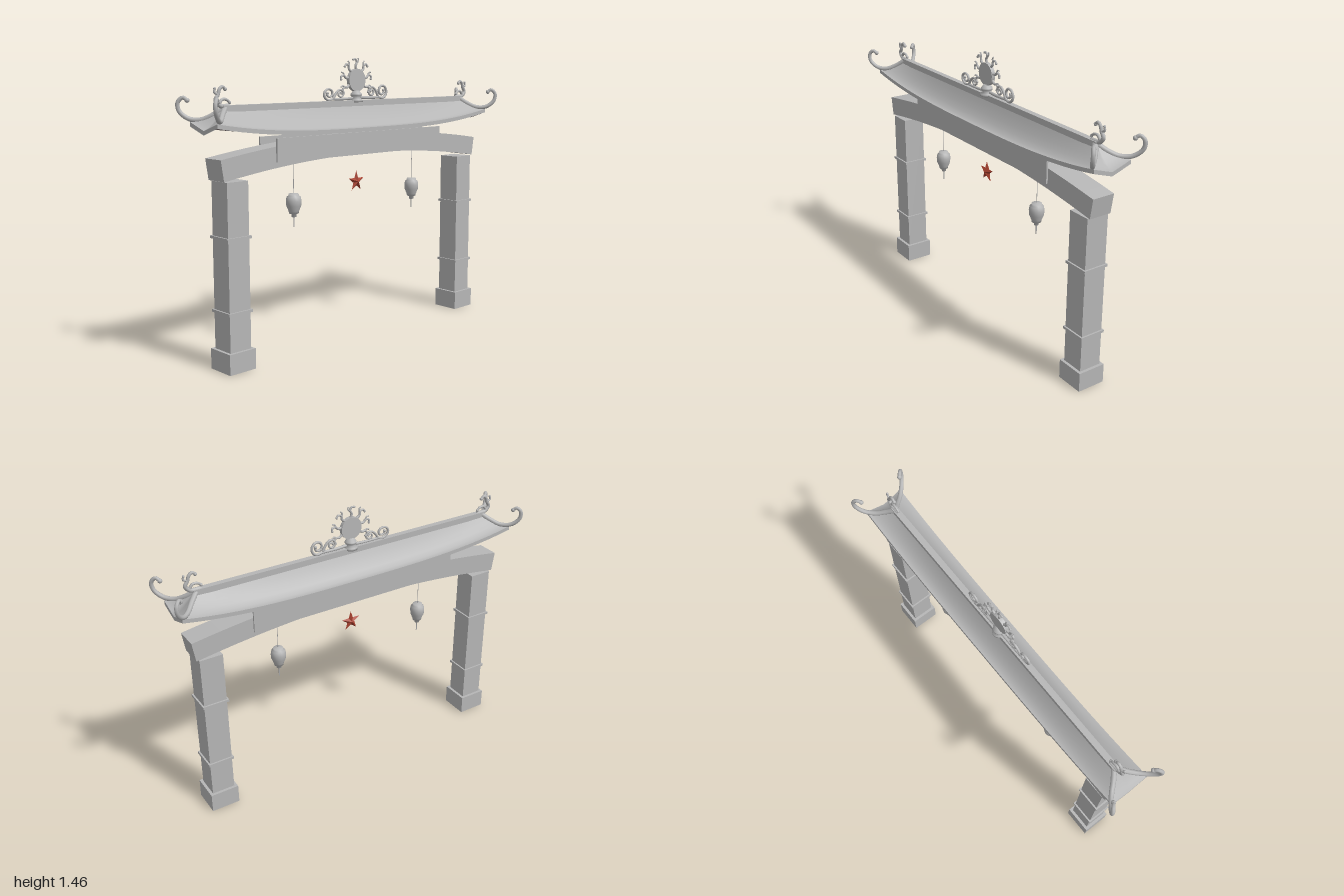
import * as THREE from 'three';
import { ParametricGeometry } from 'three/addons/geometries/ParametricGeometry.js';

const material = (name, color) => {
  const m = new THREE.MeshStandardMaterial({ color });
  m.name = name;
  return m;
};

export function createModel() {
  const root = new THREE.Group();
  root.name = 'gateway';
  const stone = material('stone grey', 0xb6b6b6);
  const soffit = material('soffit grey', 0x8c8080);
  const red = material('star red', 0xa8412f);
  stone.side = soffit.side = THREE.DoubleSide;

  const add = (name, geo, mat = stone, x = 0, y = 0, z = 0, parent = root) => {
    const mesh = new THREE.Mesh(geo, mat);
    mesh.name = name;
    mesh.position.set(x, y, z);
    parent.add(mesh);
    return mesh;
  };
  const box = (name, w, h, d, x, y, z = 0) => add(name, new THREE.BoxGeometry(w, h, d), stone, x, y, z);

  // Tube along a smooth path, its radius changing from r0 to r1, with round ends
  const curl = (name, points, r0, r1, parent = root) => {
    const path = new THREE.CatmullRomCurve3(points.map(p => new THREE.Vector3(p[0], p[1], p[2] || 0)));
    const n = points.length * 4, sides = 8;
    const geo = new THREE.TubeGeometry(path, n, 1, sides);
    const pos = geo.attributes.position, v = new THREE.Vector3();
    for (let i = 0; i <= n; i++) {
      const c = path.getPointAt(i / n), r = r0 + (r1 - r0) * i / n;
      for (let j = 0; j <= sides; j++) {
        const k = i * (sides + 1) + j;
        v.fromBufferAttribute(pos, k).sub(c).multiplyScalar(r).add(c);
        pos.setXYZ(k, v.x, v.y, v.z);
      }
    }
    add(name, geo, stone, 0, 0, 0, parent);
    [[points[0], r0], [points[points.length - 1], r1 * 1.3]].forEach(([p, r]) =>
      add(name + 'End', new THREE.SphereGeometry(r, 10, 6), stone, p[0], p[1], p[2] || 0, parent));
  };

  // Columns with footings and bands
  for (const s of [-1, 1]) {
    const x = s * 0.813;
    box('footing', 0.15, 0.1, 0.15, x, 0.05);
    box('column', 0.12, 0.8, 0.12, x, 0.5);
    for (const y of [0.285, 0.637]) box('columnBand', 0.137, 0.013, 0.137, x, y);
  }

  // Arched beam
  const arch = new THREE.Shape(), N = 24;
  for (let i = 0; i <= N; i++) {
    const u = i / N * 2 - 1;
    arch[i ? 'lineTo' : 'moveTo'](0.888 * u, 0.974 - 0.07 * u * u);
  }
  for (let i = N; i >= 0; i--) {
    const u = i / N * 2 - 1;
    arch.lineTo(0.904 * u, 1.075 - 0.07 * u * u);
  }
  add('archedBeam', new THREE.ExtrudeGeometry(arch, { depth: 0.12, bevelEnabled: false }), stone, 0, 0, -0.06);
  for (const s of [-1, 1]) box('signPanel', 1.17, 0.115, 0.009, 0, 1.0275, s * 0.0645);

  // Roof: t runs from ridge to eave, u along the ridge, w across an end
  const RIDGE = 1.235;
  const drop = t => 1 - Math.pow(1 - t, 1.8);
  const eaveY = u => 1.11 + 0.06 * Math.pow(Math.abs(u), 3);
  const longSlope = (s, off) => (a, t, p) => {
    const u = a * 2 - 1;
    p.set(u * (0.84 + 0.11 * t), RIDGE - drop(t) * (RIDGE - eaveY(u)) - off, s * 0.105 * t);
  };
  const endSlope = (s, off) => (a, t, p) => {
    const w = a * 2 - 1;
    p.set(s * (0.84 + 0.11 * t), RIDGE - drop(t) * (RIDGE - 1.17) - 0.035 * t * (1 - Math.abs(w)) - off, 0.105 * t * w);
  };
  const sheet = (name, fn, nu, nv, mat) => add(name, new ParametricGeometry(fn, nu, nv), mat);
  const edge = (slope, s) => (a, b, p) => slope(s, 0.02 * b)(a, 1, p);
  for (const s of [-1, 1]) {
    sheet('roofSlope', longSlope(s, 0), 28, 5, stone);
    sheet('roofSoffit', longSlope(s, 0.02), 28, 5, soffit);
    sheet('eaveEdge', edge(longSlope, s), 28, 1, stone);
    sheet('roofEnd', endSlope(s, 0), 6, 5, stone);
    sheet('roofEndSoffit', endSlope(s, 0.02), 6, 5, soffit);
    sheet('endEaveEdge', edge(endSlope, s), 6, 1, stone);
  }
  box('ridgeBeam', 1.7, 0.03, 0.03, 0, 1.23);

  // Upturned hips and ridge finials
  for (const s of [-1, 1]) {
    for (const f of [-1, 1]) {
      const hip = [[0.83, 1.235, 0], [0.87, 1.203, 0.033], [0.91, 1.18, 0.075], [0.95, 1.185, 0.115],
        [0.982, 1.22, 0.143], [0.986, 1.26, 0.145], [0.968, 1.281, 0.13], [0.955, 1.268, 0.117]];
      curl('hipCurl', hip.map(([x, y, z]) => [s * x, y, f * z]), 0.014, 0.009);
    }
    const side = pts => pts.map(([x, y]) => [s * x, y]);
    curl('finialStem', side([[0.81, 1.24], [0.86, 1.245], [0.882, 1.27], [0.868, 1.295],
      [0.86, 1.318], [0.842, 1.33], [0.828, 1.318]]), 0.012, 0.007);
    curl('finialLeaf', side([[0.865, 1.25], [0.845, 1.272], [0.82, 1.27], [0.805, 1.258]]), 0.008, 0.006);
    curl('finialBud', side([[0.868, 1.295], [0.888, 1.305], [0.885, 1.322]]), 0.006, 0.005);
  }

  // Central disc on its pedestal
  const profile = [[0, 0], [0.034, 0], [0.034, 0.012], [0.02, 0.022], [0.03, 0.034], [0.03, 0.042], [0.014, 0.06], [0, 0.06]];
  add('discPedestal', new THREE.LatheGeometry(profile.map(p => new THREE.Vector2(...p)), 16), stone, 0, 1.235, 0);
  const disc = add('disc', new THREE.CylinderGeometry(0.058, 0.058, 0.02, 32), stone, 0, 1.347, 0);
  disc.rotation.x = Math.PI / 2;

  // Curling flames around the disc
  for (let i = 0; i < 7; i++) {
    const ray = new THREE.Group();
    ray.name = 'flame';
    ray.position.set(0, 1.347, 0);
    ray.rotation.z = (-25 + i * 38.3) * Math.PI / 180;
    ray.scale.y = i < 3 ? -1 : 1;
    root.add(ray);
    curl('flameCurl', [[0.054, 0], [0.075, 0.005], [0.092, -0.004], [0.108, 0.006], [0.105, 0.02]], 0.007, 0.005, ray);
    curl('flameTip', [[0.088, -0.003], [0.1, -0.016], [0.11, -0.015]], 0.005, 0.003, ray);
  }

  // Cloud scrolls on both sides of the disc
  const spiral = (cx, cy, r, start, turns) => Array.from({ length: 13 }, (_, i) => {
    const a = start + turns * 2 * Math.PI * i / 12, q = r * (1 - 0.7 * i / 12);
    return [cx + q * Math.cos(a), cy + q * Math.sin(a)];
  });
  for (const s of [-1, 1]) {
    const scrolls = new THREE.Group();
    scrolls.name = 'cloudScrolls';
    scrolls.position.y = 1.243;
    scrolls.scale.set(s, s > 0 ? 1 : 0.85, 1);
    root.add(scrolls);
    curl('outerScroll', [[0.03, 0.015], [0.08, 0.012], [0.13, 0.012], ...spiral(0.19, 0.045, 0.04, -2.2, 1.4)], 0.008, 0.006, scrolls);
    curl('innerScroll', [[0.16, 0.02], [0.145, 0.045], ...spiral(0.112, 0.042, 0.026, 0.8, 1.3)], 0.007, 0.005, scrolls);
  }

  // Hanging lanterns
  const body = [[0, 0.635], [0.003, 0.635], [0.003, 0.682], [0.012, 0.684], [0.012, 0.7], [0.024, 0.702], [0.026, 0.714],
    [0.037, 0.74], [0.039, 0.765], [0.035, 0.785], [0.026, 0.79], [0.025, 0.8], [0, 0.803]];
  for (const s of [-1, 1]) {
    add('lantern', new THREE.LatheGeometry(body.map(p => new THREE.Vector2(...p)), 16), stone, s * 0.43, 0, 0);
    add('lanternCord', new THREE.CylinderGeometry(0.0015, 0.0015, 0.17, 6), stone, s * 0.43, 0.88, 0);
  }

  // Faceted five-pointed star
  const rim = i => {
    const a = Math.PI / 2 + i * Math.PI / 5, r = i % 2 ? 0.022 : 0.056;
    return [r * Math.cos(a), r * Math.sin(a), 0];
  };
  const corners = [];
  for (let i = 0; i < 10; i++) {
    corners.push(...rim(i), ...rim(i + 1), 0, 0, 0.018);
    corners.push(...rim(i + 1), ...rim(i), 0, 0, -0.018);
  }
  const star = new THREE.BufferGeometry();
  star.setAttribute('position', new THREE.Float32BufferAttribute(corners, 3));
  star.computeVertexNormals();
  add('star', star, red, 0, 0.822, 0);

  return root;
}
